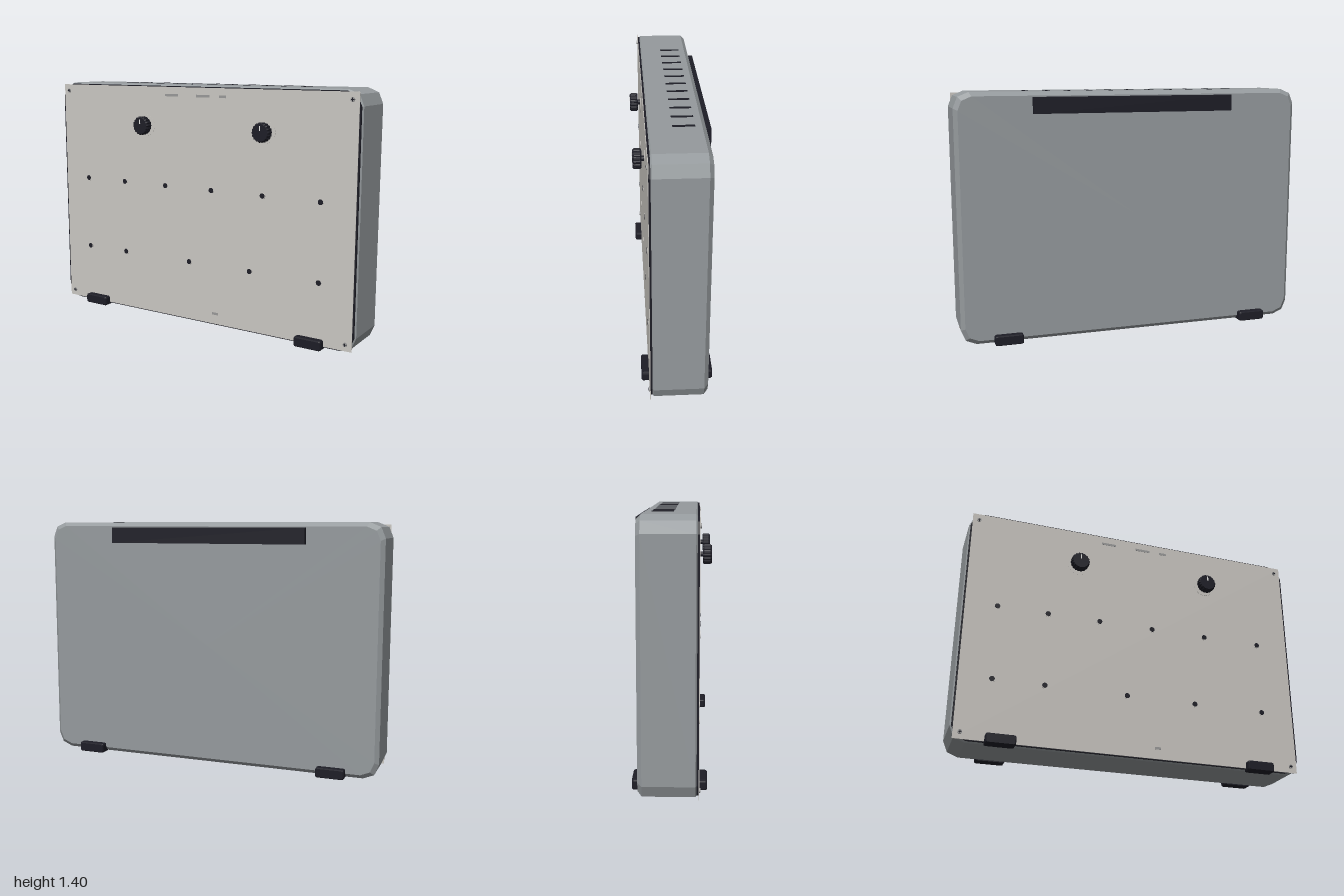
import * as THREE from 'three';

const mat = (name, color, flatShading = false) => {
  const m = new THREE.MeshStandardMaterial({ color, flatShading });
  m.name = name;
  return m;
};

// Rounded rectangle outline, two segments per corner, counter-clockwise
function roundedRect(w, h, r) {
  const pts = [];
  [[1, 1], [-1, 1], [-1, -1], [1, -1]].forEach(([sx, sy], q) => {
    for (let i = 0; i <= 2; i++) {
      const a = (q + i / 2) * Math.PI / 2;
      pts.push([sx * (w / 2 - r) + r * Math.cos(a), sy * (h / 2 - r) + r * Math.sin(a)]);
    }
  });
  return pts;
}

// Fluted circle outline for the knob grip
function fluted(r, depth, flutes) {
  return Array.from({ length: flutes * 4 }, (_, i) => {
    const a = i / (flutes * 4) * Math.PI * 2, s = i % 4 < 2 ? r : r - depth;
    return [s * Math.cos(a), s * Math.sin(a)];
  });
}

// Capped, faceted solid through [outline, z] rings, listed back to front
function loft(rings) {
  const v = [], n = rings[0][0].length;
  const p = (k, i) => [...rings[k][0][i % n], rings[k][1]];
  const last = rings.length - 1;
  for (let i = 0; i < n; i++) {
    for (let k = 0; k < last; k++) {
      v.push(...p(k, i), ...p(k, i + 1), ...p(k + 1, i + 1));
      v.push(...p(k, i), ...p(k + 1, i + 1), ...p(k + 1, i));
    }
    v.push(0, 0, rings[0][1], ...p(0, i + 1), ...p(0, i));
    v.push(0, 0, rings[last][1], ...p(last, i), ...p(last, i + 1));
  }
  const g = new THREE.BufferGeometry();
  g.setAttribute('position', new THREE.Float32BufferAttribute(v, 3));
  g.computeVertexNormals();
  return g;
}

export function createModel() {
  const grey = mat('caseGrey', 0x959a9d, true);
  const beige = mat('panelBeige', 0xcac7c2);
  const black = mat('trimBlack', 0x1d1d26, true);
  const white = mat('pointerWhite', 0xf0f0ee);
  const steel = mat('markGrey', 0x999999);

  const model = new THREE.Group();
  model.name = 'controlUnit';
  const add = (name, geo, material, x, y, z, parent = model) => {
    const m = new THREE.Mesh(geo, material);
    m.name = name;
    m.position.set(x, y, z);
    parent.add(m);
    return m;
  };
  const box = (w, h, d) => new THREE.BoxGeometry(w, h, d);
  const disc = (r, d, n = 20) => new THREE.CylinderGeometry(r, r, d, n).rotateX(Math.PI / 2);
  const midY = 0.7;

  // Case with bevelled back edge, dark gasket and square front panel
  const outer = roundedRect(2, 1.388, 0.085);
  const inner = roundedRect(1.955, 1.343, 0.075);
  const lip = roundedRect(1.985, 1.373, 0.08);
  add('case', loft([[inner, -0.162], [outer, -0.14], [outer, 0.12], [lip, 0.127]]), grey, 0, midY, 0);
  add('gasket', loft([[lip, 0.126], [lip, 0.137]]), black, 0, midY, 0);
  add('frontPanel', box(1.968, 1.364, 0.004), beige, 0, midY, 0.138);

  // Vent slots on the top
  for (let i = -5; i <= 5; i++) add('ventSlot', box(0.02, 0.004, 0.112), black, i * 0.12, 1.394, -0.05);

  // Bar along the top of the back
  add('backBar', box(1.156, 0.09, 0.03), black, 0, 1.32, -0.174);

  // Four feet, front and back
  const footOut = roundedRect(0.16, 0.056, 0.01), footIn = roundedRect(0.15, 0.046, 0.008);
  for (const x of [-0.74, 0.74]) {
    add('frontFoot', loft([[footOut, 0.12], [footOut, 0.172], [footIn, 0.18]]), black, x, 0.028, 0);
    add('backFoot', loft([[footIn, -0.202], [footOut, -0.194], [footOut, -0.135]]), black, x, 0.028, 0);
  }

  // Rotary knobs with washer, shaft, fluted grip and pointer
  const grip = loft([
    [fluted(0.049, 0.003, 18), 0.155], [fluted(0.054, 0.004, 18), 0.163],
    [fluted(0.054, 0.004, 18), 0.194], [fluted(0.047, 0.001, 18), 0.202]]);
  for (const x of [-0.35, 0.45]) {
    const knob = new THREE.Group();
    knob.name = 'knob';
    knob.position.set(x, 1.155, 0);
    model.add(knob);
    add('knobWasher', disc(0.062, 0.003, 32), beige, 0, 0, 0.14, knob);
    add('knobShaft', disc(0.014, 0.03), black, 0, 0, 0.15, knob);
    add('knobGrip', grip, black, 0, 0, 0, knob);
    add('knobPointer', box(0.007, 0.028, 0.003), white, 0, 0.024, 0.2025, knob);
  }

  // Two rows of sockets
  const rows = [
    [0.805, [-0.805, -0.518, -0.215, 0.105, 0.437, 0.785]],
    [0.368, [-0.805, -0.518, -0.048, 0.36, 0.785]]];
  for (const [y, xs] of rows) {
    for (const x of xs) {
      add('socketRing', disc(0.019, 0.003), beige, x, y, 0.14);
      add('socketHole', disc(0.015, 0.004), black, x, y, 0.141);
    }
  }

  // Corner screws with slots
  for (const x of [-0.947, 0.947]) {
    for (const y of [0.055, 1.343]) {
      add('screw', disc(0.012, 0.006), steel, x, y, 0.142);
      add('screwSlot', box(0.018, 0.004, 0.002), black, x, y, 0.1452);
      add('screwSlot', box(0.004, 0.018, 0.002), black, x, y, 0.1452);
    }
  }

  // Plain printed marks on the panel
  const marks = [[-0.165, 1.335, 0.09], [0.05, 1.335, 0.09], [0.18, 1.335, 0.045], [0.13, 0.08, 0.036]];
  for (const [x, y, w] of marks) add('panelMark', box(w, 0.014, 0.002), steel, x, y, 0.1405);

  return model;
}
